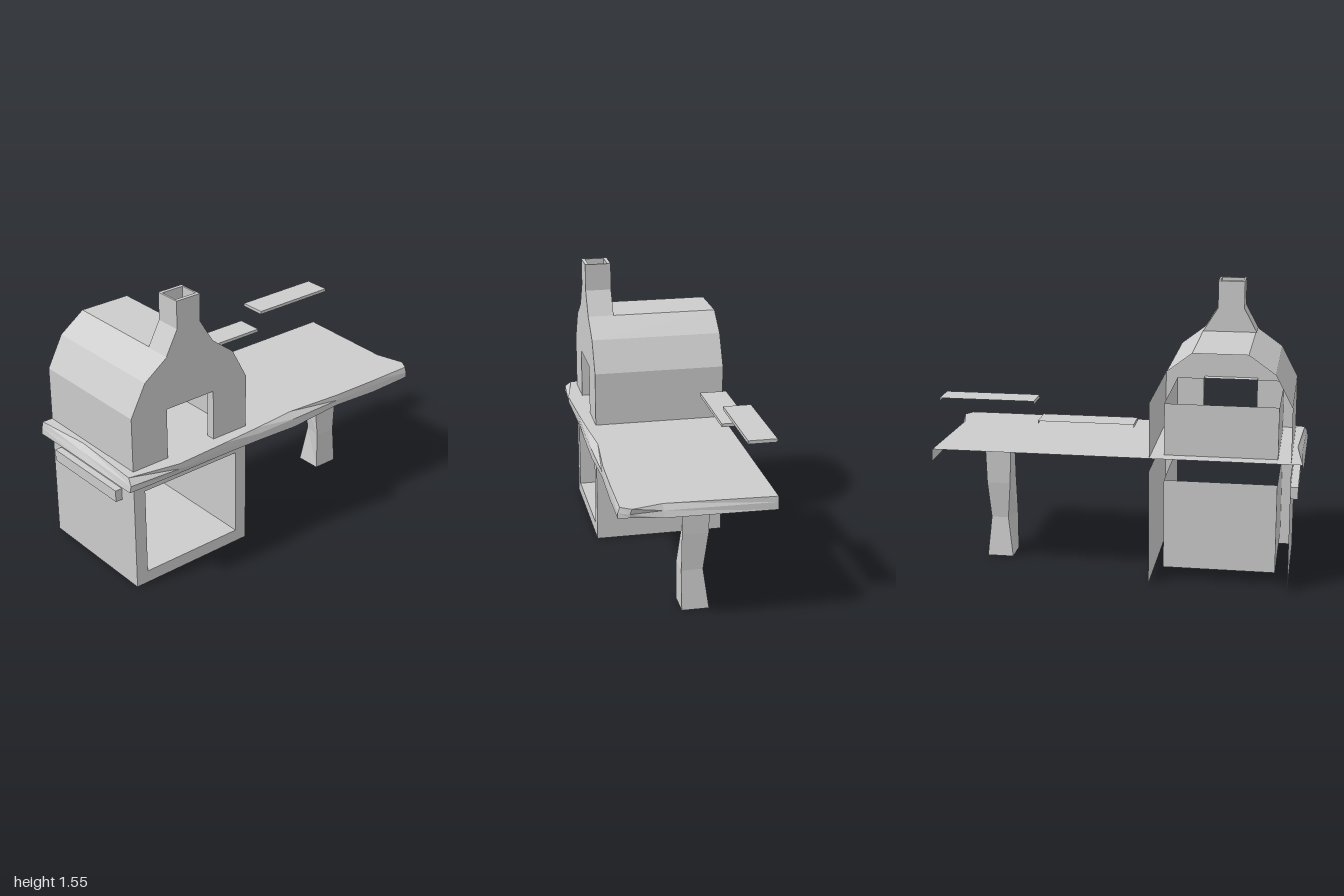
import * as THREE from 'three';

const material = new THREE.MeshStandardMaterial({ color: 0xcccccc, flatShading: true, side: THREE.DoubleSide });

// Main dimensions of the masonry
const L = -0.93, R = -0.19, FRONT = 0.32, BACK = -0.41;
const SLAB_LOW = 0.63, SLAB_TOP = 0.7;

function add(group, name, geometry) {
  const mesh = new THREE.Mesh(geometry, material);
  mesh.name = name;
  group.add(mesh);
  return mesh;
}

// Surface stretched over rows of [x, y, z] points
function sheet(rows) {
  const n = rows[0].length, index = [];
  for (let i = 0; i < rows.length - 1; i++)
    for (let j = 0; j < n - 1; j++) {
      const a = i * n + j, b = a + n;
      index.push(a, b, b + 1, a, b + 1, a + 1);
    }
  const g = new THREE.BufferGeometry();
  g.setAttribute('position', new THREE.Float32BufferAttribute(rows.flat(2), 3));
  g.setIndex(index);
  const flat = g.toNonIndexed();
  flat.computeVertexNormals();
  return flat;
}

// Sweep an outline in x, y from one depth to another
const sweep = (outline, z0, z1) => sheet([z0, z1].map(z => outline.map(([x, y]) => [x, y, z])));
const rect = (x0, x1, y0, y1) => [[x0, y0], [x1, y0], [x1, y1], [x0, y1]];
const loop = points => [...points, points[0]];

// Flat panel with optional holes, facing +z
function panel(outline, z, ...holes) {
  const vec = pts => pts.map(p => new THREE.Vector2(...p));
  const shape = new THREE.Shape(vec(outline));
  holes.forEach(h => shape.holes.push(new THREE.Path(vec(h))));
  return new THREE.ShapeGeometry(shape).translate(0, 0, z);
}

// Horizontal panel in x, z
const level = (outline, y, ...holes) => {
  const flip = pts => pts.map(([x, z]) => [x, -z]);
  return panel(flip(outline), 0, ...holes.map(flip)).rotateX(-Math.PI / 2).translate(0, y, 0);
};

function createBase() {
  const g = new THREE.Group();
  g.name = 'ovenBase';
  const x0 = -0.86, x1 = -0.26, y0 = 0.07, y1 = 0.56, zb = -0.33;
  add(g, 'baseFront', panel(rect(L, R, 0, SLAB_LOW), FRONT, rect(x0, x1, y0, y1)));
  for (const x of [L, R]) add(g, 'baseSide', sweep([[x, 0], [x, SLAB_LOW]], FRONT, BACK));
  // Wood store: floor, sides and back, open above
  add(g, 'woodStoreWalls', sweep([[x0, y1], [x0, y0], [x1, y0], [x1, y1]], FRONT, zb));
  add(g, 'woodStoreBack', panel(rect(x0, x1, y0, y1), zb));
  // Rail on the side wall
  add(g, 'sideRail', new THREE.BoxGeometry(0.04, 0.065, 0.55)).position.set(-0.95, 0.522, -0.06);
  return g;
}

function createOven() {
  const g = new THREE.Group();
  g.name = 'oven';
  const roof = [[R, SLAB_TOP], [R, 1], [-0.28, 1.17], [-0.41, 1.27], [-0.7, 1.27], [-0.84, 1.17], [L, 1], [L, SLAB_TOP]];
  const door = [[-0.71, SLAB_TOP], [-0.71, 0.98], [-0.41, 0.98], [-0.41, SLAB_TOP]];
  add(g, 'vault', sweep(roof, FRONT, BACK));
  add(g, 'ovenFront', panel([...roof, ...door], FRONT));
  add(g, 'doorJamb', sweep(door, FRONT, 0.27));

  // Fire chamber, open above
  const x0 = -0.86, x1 = -0.26, zb = -0.33;
  for (const x of [x0, x1]) add(g, 'chamberSide', sweep([[x, SLAB_TOP], [x, 0.98]], 0.27, zb));
  add(g, 'chamberBack', panel(rect(x0, x1, SLAB_TOP, 0.98), zb));
  add(g, 'chamberFront', panel(rect(x0, -0.71, SLAB_TOP, 0.98), 0.27));
  add(g, 'chamberFront', panel(rect(-0.41, x1, SLAB_TOP, 0.98), 0.27));
  return g;
}

function createChimney() {
  const g = new THREE.Group();
  g.name = 'chimney';
  const outline = [[-0.41, 1.27], [-0.49, 1.4], [-0.49, 1.55], [-0.635, 1.55], [-0.635, 1.4], [-0.705, 1.27]];
  const back = 0.175, flue = rect(-0.625, -0.5, 0.195, 0.3);
  add(g, 'chimneyFront', panel(outline, FRONT));
  add(g, 'chimneyBack', panel(outline, back).rotateY(0));
  for (const side of [outline.slice(0, 3), outline.slice(3)]) add(g, 'chimneySide', sweep(side, FRONT, back));
  add(g, 'chimneyRim', level(rect(-0.635, -0.49, back, FRONT), 1.55, flue));
  add(g, 'flue', sheet([1.55, 1.4].map(y => loop(flue).map(([x, z]) => [x, y, z]))));
  return g;
}

// Worktop with a wavy natural edge: [top x, top z, bottom x, bottom y, bottom z]
function createWorktop() {
  const g = new THREE.Group();
  g.name = 'worktop';
  const edge = [
    [-0.99, BACK, -1, 0.63, BACK], [-0.955, -0.08, -0.995, 0.63, -0.08], [-0.98, 0.35, -1, 0.635, 0.385],
    [-0.7, 0.405, -0.7, 0.63, 0.385], [-0.4, 0.39, -0.4, 0.63, 0.385], [-0.15, 0.375, -0.15, 0.63, 0.39],
    [0.1, 0.355, 0.1, 0.62, 0.39], [0.42, 0.38, 0.42, 0.64, 0.385], [0.7, 0.385, 0.7, 0.63, 0.39],
    [0.96, 0.385, 0.96, 0.64, 0.395], [0.995, 0.33, 0.985, 0.65, 0.34], [0.955, 0.17, 0.985, 0.635, 0.17],
    [0.98, BACK, 0.985, 0.63, BACK],
  ];
  add(g, 'worktopSurface', level(edge.map(e => [e[0], e[1]]), SLAB_TOP));
  add(g, 'worktopEdge', sheet([
    edge.map(e => [e[0], SLAB_TOP, e[1]]),
    edge.map(e => [e[0] * 0.4 + e[2] * 0.6, 0.67, Math.max(e[1], e[4])]),
    edge.map(e => [e[2], e[3], e[4]]),
  ]));
  return g;
}

// Roughly hewn leg, open at both ends
function createLeg(g) {
  const rings = [
    [0.66, [0.62, -0.02], [0.76, 0.03], [0.765, -0.115], [0.62, -0.115]],
    [0.43, [0.62, 0], [0.755, 0.03], [0.76, -0.11], [0.63, -0.11]],
    [0.22, [0.62, 0.03], [0.745, 0.03], [0.745, -0.085], [0.65, -0.085]],
    [0, [0.62, 0.03], [0.765, 0.03], [0.765, -0.115], [0.62, -0.115]],
  ];
  add(g, 'leg', sheet(rings.map(([y, ...c]) => loop(c).map(([x, z]) => [x, y, z]))));
}

// Thin shelf with a lip on the front and both ends
function createShelf(x0, x1, y) {
  const g = new THREE.Group();
  g.name = 'shelf';
  const path = [[x0, BACK], [x0, -0.26], [x1, -0.26], [x1, BACK]];
  add(g, 'shelfTop', level(path, y));
  add(g, 'shelfLip', sheet([y, y - 0.018].map(h => path.map(([x, z]) => [x, h, z]))));
  return g;
}

export function createModel() {
  const model = new THREE.Group();
  model.name = 'outdoorOven';
  model.add(createBase(), createOven(), createChimney(), createWorktop());
  createLeg(model);
  model.add(createShelf(-0.11, 0.4, 0.88), createShelf(0.42, 0.93, 0.985));
  return model;
}
